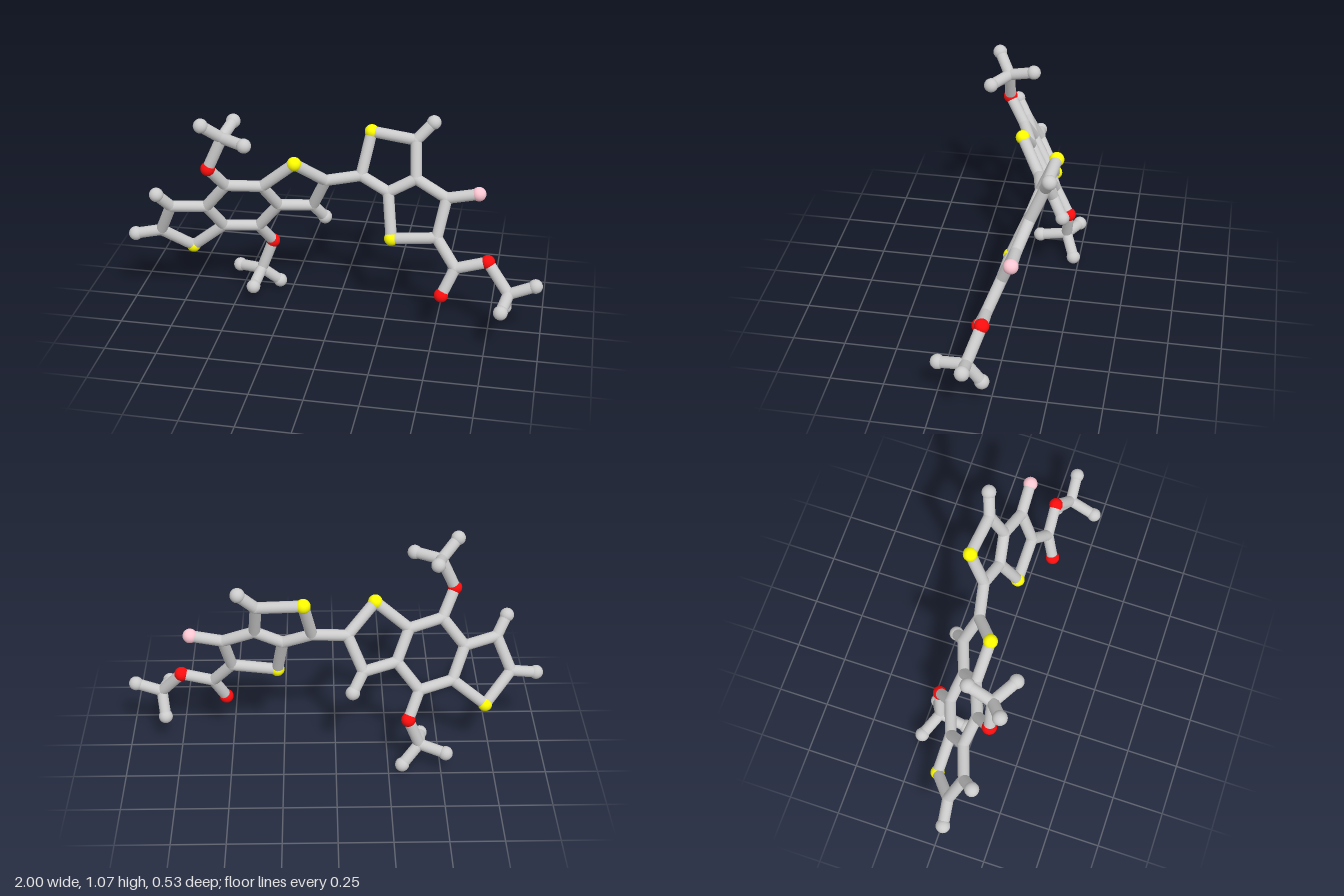
import * as THREE from 'three';

const BOND = 0.027, BALL = 0.034;
const grey = new THREE.MeshStandardMaterial({ color: 0xcccccc });
const paints = {
  H: grey,
  S: new THREE.MeshStandardMaterial({ color: 0xffff00 }),
  O: new THREE.MeshStandardMaterial({ color: 0xff0d0d }),
  F: new THREE.MeshStandardMaterial({ color: 0xffc8d4 }),
};
const names = { C: 'carbonJoint', H: 'hydrogen', S: 'sulfur', O: 'oxygen', F: 'fluorine' };

// The two flat ring systems each lie in a tilted plane
const planeA = (x, y) => -0.03 - 0.316 * (x + 0.449) + 0.49 * (y - 0.538);
const planeB = (x, y) => -0.005 + 0.057 * (x - 0.275) - 0.397 * (y - 0.445);

// Atoms: id [element, x, y, z or plane]
const atoms = {
  // three fused rings
  s1: ['S', -0.714, 0.277, planeA], a1: ['C', -0.842, 0.402, planeA], a2: ['C', -0.77, 0.563, planeA],
  a3: ['C', -0.613, 0.547, planeA], a4: ['C', -0.505, 0.683, planeA], a5: ['C', -0.345, 0.663, planeA],
  a6: ['C', -0.285, 0.531, planeA], a7: ['C', -0.393, 0.393, planeA], a8: ['C', -0.553, 0.41, planeA],
  s2: ['S', -0.185, 0.799, planeA], a9: ['C', -0.054, 0.68, planeA], a10: ['C', -0.128, 0.516, planeA],
  h1: ['H', -0.966, 0.38, 0.045], h2: ['H', -0.82, 0.645, 0.14], h3: ['H', -0.078, 0.432, -0.195],
  // upper methoxy
  o1: ['O', -0.565, 0.8, 0.138], m1: ['C', -0.495, 0.957, 0.13],
  m1a: ['H', -0.575, 1.035, 0.19], m1b: ['H', -0.47, 0.992, 0.008], m1c: ['H', -0.375, 0.957, 0.2],
  // lower methoxy
  o2: ['O', -0.34, 0.276, -0.195], m2: ['C', -0.397, 0.122, -0.178],
  m2a: ['H', -0.52, 0.104, -0.23], m2b: ['H', -0.41, 0.091, -0.042], m2c: ['H', -0.315, 0.036, -0.225],
  // two fused rings
  b1: ['C', 0.11, 0.705, planeB], s3: ['S', 0.147, 0.902, planeB], b2: ['C', 0.36, 0.883, planeB],
  b3: ['C', 0.373, 0.715, planeB], b4: ['C', 0.245, 0.645, planeB], s4: ['S', 0.275, 0.443, planeB],
  b5: ['C', 0.49, 0.468, planeB], b6: ['C', 0.523, 0.645, planeB],
  f1: ['F', 0.672, 0.677, planeB], h4: ['H', 0.438, 0.966, planeB],
  // methyl ester
  e1: ['C', 0.587, 0.345, planeB], o3: ['O', 0.53, 0.22, planeB], o4: ['O', 0.737, 0.388, planeB],
  m3: ['C', 0.843, 0.256, 0.095],
  m3a: ['H', 0.965, 0.306, 0.088], m3b: ['H', 0.817, 0.23, 0.228], m3c: ['H', 0.826, 0.15, 0.03],
};

// Bonds as chains of atoms
const chains = {
  leftRing: 'a3 a2 a1 s1 a8',
  middleRing: 'a3 a4 a5 a6 a7 a8 a3',
  rightRing: 'a5 s2 a9 a10 a6',
  linkBond: 'a9 b1',
  upperRing: 'b1 s3 b2 b3 b4 b1',
  lowerRing: 'b4 s4 b5 b6 b3',
  ester: 'b5 e1 o4 m3',
  esterOxygenBond: 'e1 o3',
  upperMethoxy: 'a4 o1 m1',
  lowerMethoxy: 'a7 o2 m2',
  fluorineBond: 'b6 f1',
};
for (const [i, c] of ['a1', 'a2', 'a10', 'b2'].entries()) chains['ringHydrogenBond' + (i + 1)] = `${c} h${i + 1}`;
for (const m of ['m1', 'm2', 'm3'])
  for (const k of 'abc') chains['methylBond_' + m + k] = `${m} ${m}${k}`;

export function createModel() {
  const model = new THREE.Group();
  model.name = 'molecule';
  const ball = new THREE.SphereGeometry(BALL, 20, 14);
  const joint = new THREE.SphereGeometry(BOND * 1.03, 20, 14);
  const rod = new THREE.CylinderGeometry(BOND, BOND, 1, 18, 1, true);
  const up = new THREE.Vector3(0, 1, 0);

  // Atom balls; carbons only round off the meeting rods
  const pos = {};
  for (const [id, [el, x, y, z]] of Object.entries(atoms)) {
    pos[id] = new THREE.Vector3(x, y, typeof z === 'function' ? z(x, y) : z);
    const mesh = new THREE.Mesh(el === 'C' ? joint : ball, paints[el] || grey);
    mesh.name = names[el];
    mesh.position.copy(pos[id]);
    model.add(mesh);
  }

  // Bond rods
  for (const [name, chain] of Object.entries(chains)) {
    const group = new THREE.Group();
    group.name = name;
    const ids = chain.split(' ');
    for (let i = 1; i < ids.length; i++) {
      const a = pos[ids[i - 1]], b = pos[ids[i]];
      const dir = b.clone().sub(a);
      const mesh = new THREE.Mesh(rod, grey);
      mesh.name = 'bond';
      mesh.scale.y = dir.length();
      mesh.position.copy(a).add(b).multiplyScalar(0.5);
      mesh.quaternion.setFromUnitVectors(up, dir.normalize());
      group.add(mesh);
    }
    model.add(group);
  }
  return model;
}
